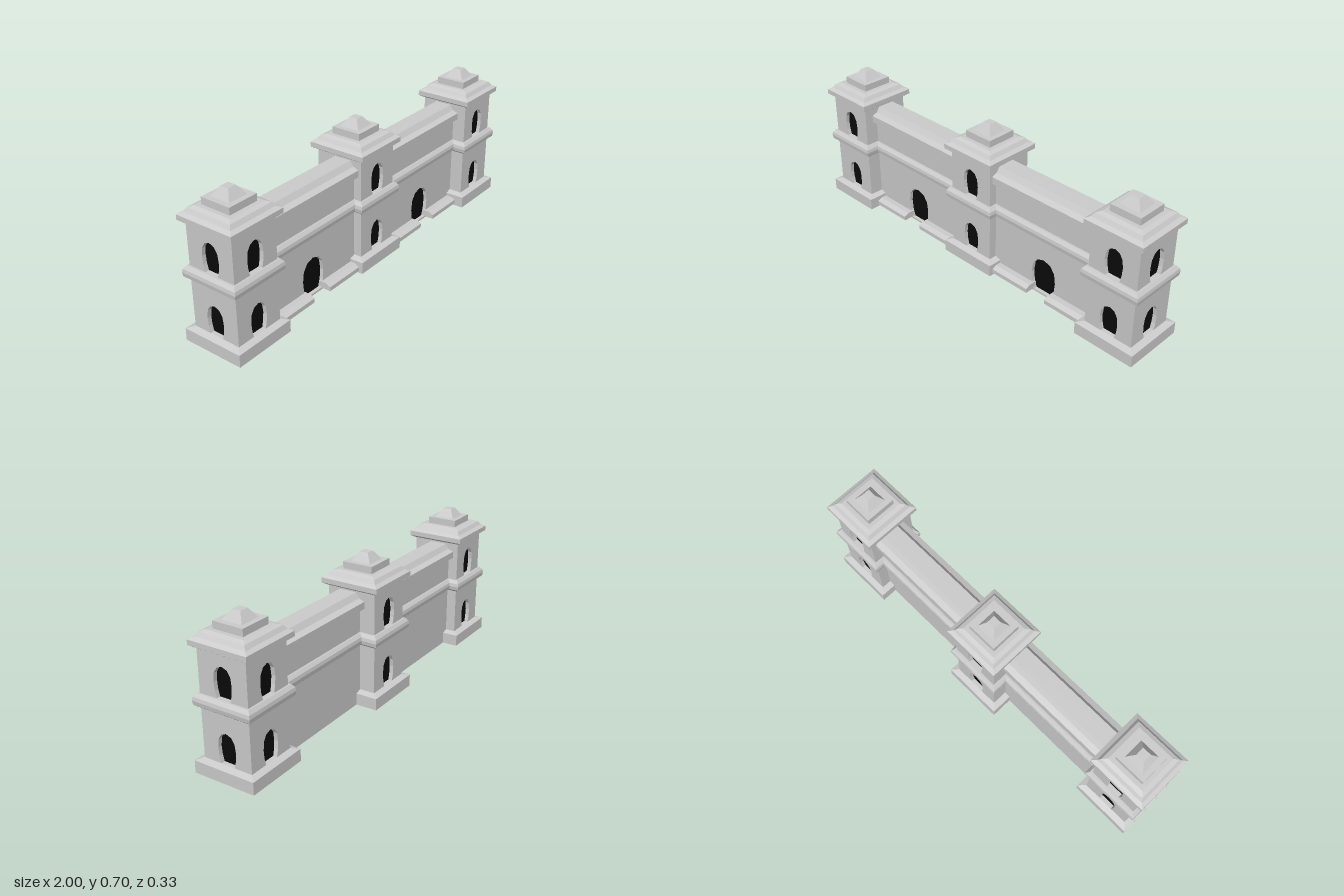
import * as THREE from 'three';

const stone = new THREE.MeshStandardMaterial({ color: 0xcccccc, flatShading: true });
const dark = new THREE.MeshStandardMaterial({ color: 0x0a0a0a });

const RECESS = 0.02;
const BODY = 0.123;      // half width of a tower
const TOWER_X = 0.846;
const WALL_Z = 0.005;
const WALL = 0.064;      // half thickness of the wall

function add(parent, name, geometry, material = stone) {
  const mesh = new THREE.Mesh(geometry, material);
  mesh.name = name;
  parent.add(mesh);
  return mesh;
}

// Faceted arch outline: half widths and heights, mirrored about its axis
function archPath(cx, y0, w, h) {
  const side = [[0.76, 0], [0.93, 0.22], [1, 0.48], [0.9, 0.75], [0.56, 0.93]];
  const pts = [
    ...side.map(([x, y]) => [x, y]),
    [0, 1],
    ...side.map(([x, y]) => [-x, y]).reverse(),
  ];
  return new THREE.Path(pts.map(([x, y]) => new THREE.Vector2(cx + x * w, y0 + y * h)));
}

// Upright slab with arched openings, its outer face at z = 0
function piercedSlab(x0, x1, height, arches) {
  const shape = new THREE.Shape();
  shape.moveTo(x0, 0).lineTo(x1, 0).lineTo(x1, height).lineTo(x0, height).closePath();
  shape.holes.push(...arches);
  return new THREE.ExtrudeGeometry(shape, { depth: RECESS, bevelEnabled: false }).translate(0, 0, -RECESS);
}

// Square moulding from a [half width, height] profile
function squareRing(profile) {
  const pts = profile.map(([r, y]) => new THREE.Vector2(r * Math.SQRT2, y));
  return new THREE.LatheGeometry(pts, 4, Math.PI / 4);
}

// Straight moulding along x from a [z, y] outline
function moulding(outline, x0, x1) {
  const shape = new THREE.Shape(outline.map(([z, y]) => new THREE.Vector2(z, y)));
  return new THREE.ExtrudeGeometry(shape, { depth: x1 - x0, bevelEnabled: false })
    .rotateY(-Math.PI / 2).translate(x1, 0, 0);
}

// Closes a one-sided [half depth, height] profile by mirroring it
const mirrored = (p) => [...p, ...p.map(([z, y]) => [-z, y]).reverse()];

function createTower(name, x, z) {
  const tower = new THREE.Group();
  tower.name = name;
  tower.position.set(x, 0, z);

  // Base
  add(tower, 'base', squareRing([[0, 0], [0.153, 0], [0.153, 0.058], [BODY, 0.068]]));

  // Four body walls, two windows each, meeting flush at the corners
  for (let i = 0; i < 4; i++) {
    const half = i % 2 ? BODY - RECESS : BODY;
    const windows = [0.068, 0.361].map((y) => archPath(0, y, 0.046, 0.145));
    const face = add(tower, 'bodyWall', piercedSlab(-half, half, 0.57, windows).translate(0, 0, BODY));
    face.rotation.y = i * Math.PI / 2;
  }
  const inner = 2 * (BODY - RECESS);
  add(tower, 'windowInterior', new THREE.BoxGeometry(inner, 0.56, inner).translate(0, 0.285, 0), dark);

  // Band between the storeys
  add(tower, 'band', squareRing([
    [BODY, 0.301], [0.132, 0.301], [0.144, 0.311], [0.147, 0.33],
    [0.144, 0.346], [0.132, 0.361], [BODY, 0.361],
  ]));

  // Cornice and stepped roof
  add(tower, 'roof', squareRing([
    [0, 0.558], [0.13, 0.558], [0.147, 0.569], [0.147, 0.593], [0.128, 0.604],
    [0.116, 0.622], [0.096, 0.63], [0.076, 0.63], [0.076, 0.663], [0.05, 0.663],
    [0.021, 0.705], [0, 0.705],
  ]));
  return tower;
}

function createWall(name, side) {
  const wall = new THREE.Group();
  wall.name = name;
  const x0 = BODY, x1 = TOWER_X - BODY, door = 0.423;
  wall.position.set(side > 0 ? 0 : -(x0 + x1), 0, WALL_Z);

  // Pierced front, solid back and dark doorway
  add(wall, 'wallFront', piercedSlab(x0, x1, 0.5, [archPath(door, 0.01, 0.07, 0.185)]).translate(0, 0, WALL));
  const depth = 2 * WALL - RECESS;
  add(wall, 'wallBack', new THREE.BoxGeometry(x1 - x0, 0.5, depth)
    .translate((x0 + x1) / 2, 0.25, -RECESS / 2));
  add(wall, 'doorway', new THREE.BoxGeometry(0.16, 0.2, 0.004)
    .translate(door, 0.103, WALL - RECESS), dark);

  // Band and top cornice
  add(wall, 'wallBand', moulding(mirrored([
    [0.073, 0.301], [0.085, 0.311], [0.088, 0.33], [0.085, 0.346], [0.073, 0.36],
  ]), x0, x1));
  add(wall, 'wallCornice', moulding(mirrored([
    [0.066, 0.466], [0.088, 0.478], [0.088, 0.512], [0.06, 0.523], [0.043, 0.548],
  ]), x0, x1));

  // Front plinth, open at the door
  const plinth = [[0.05, 0.01], [0.115, 0.01], [0.115, 0.031], [0.092, 0.043], [0.05, 0.043]];
  for (const [a, b] of [[x0, door - 0.055], [door + 0.055, x1]]) {
    add(wall, 'plinth', moulding(plinth, a, b));
  }
  return wall;
}

export function createModel() {
  const model = new THREE.Group();
  model.name = 'towerGate';
  model.add(
    createTower('leftTower', TOWER_X, 0.014),
    createTower('middleTower', 0, -0.014),
    createTower('rightTower', -TOWER_X, 0.014),
    createWall('leftWall', 1),
    createWall('rightWall', -1),
  );
  return model;
}
